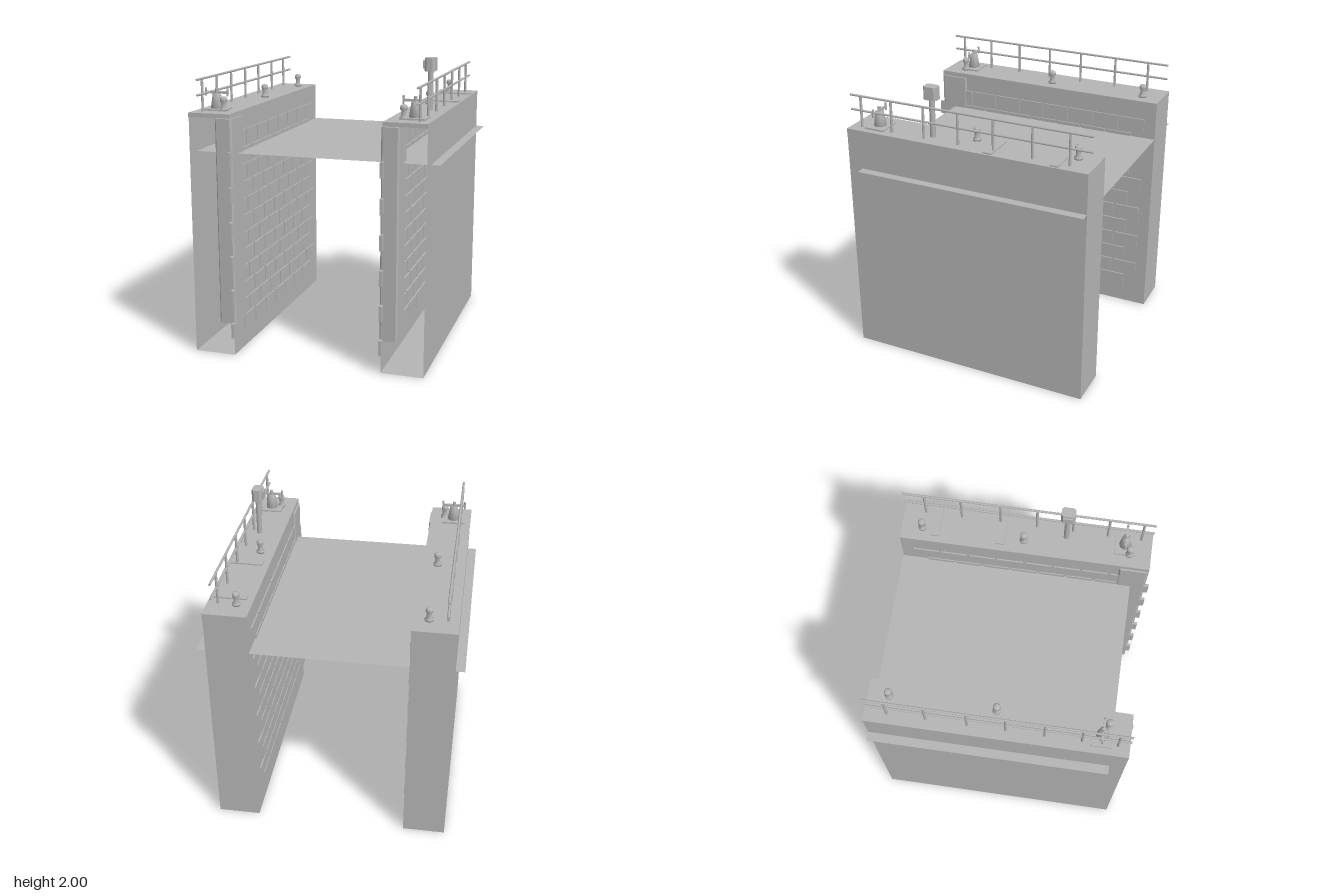
import * as THREE from 'three';
import { mergeGeometries } from 'three/addons/utils/BufferGeometryUtils.js';

const grey = new THREE.MeshStandardMaterial({ color: 0xb4b4b4, side: THREE.DoubleSide });
grey.name = 'concrete grey';

// Box given by its limits on each axis
function boxGeo(x0, x1, y0, y1, z0, z1) {
  return new THREE.BoxGeometry(Math.abs(x1 - x0), y1 - y0, z1 - z0)
    .translate((x0 + x1) / 2, (y0 + y1) / 2, (z0 + z1) / 2);
}

// Outline of a rectangle with cut corners, extruded upwards
function chamferedBlock(w, d, h, c) {
  const x = w / 2, z = d / 2;
  const pts = [[-x + c, -z], [x - c, -z], [x, -z + c], [x, z - c],
    [x - c, z], [-x + c, z], [-x, z - c], [-x, -z + c]];
  const shape = new THREE.Shape(pts.map(([a, b]) => new THREE.Vector2(a, b)));
  return new THREE.ExtrudeGeometry(shape, { depth: h, bevelEnabled: false }).rotateX(-Math.PI / 2);
}

function lathe(points, sides = 16) {
  return new THREE.LatheGeometry(points.map(([r, y]) => new THREE.Vector2(r, y)), sides);
}

export function createModel() {
  const model = new THREE.Group();
  model.name = 'lockChamber';
  const TOP = 1.653, BACK = -0.867, FRONT = 0.847;

  function add(parent, name, geometry, x = 0, y = 0, z = 0) {
    const mesh = new THREE.Mesh(geometry, grey);
    mesh.name = name;
    mesh.position.set(x, y, z);
    parent.add(mesh);
    return mesh;
  }

  // Water surface, running through both hollow walls
  const water = new THREE.PlaneGeometry(1.72, 1.612).rotateX(-Math.PI / 2);
  add(model, 'waterSurface', water, 0, 1.38, -0.061);

  for (const s of [1, -1]) {
    const side = new THREE.Group();
    side.name = s > 0 ? 'leftWall' : 'rightWall';
    model.add(side);

    // Hollow wall, open at the front: drop the +z face of the box
    const shell = boxGeo(s * 0.514, s * 0.8, 0, 1.64, BACK, FRONT);
    shell.setIndex(Array.from(shell.index.array).filter((v, i) => i < 24 || i >= 30));
    shell.clearGroups();
    add(side, 'wallShell', shell);
    add(side, 'coping', boxGeo(s * 0.514, s * 0.803, 1.625, TOP, BACK, FRONT));

    // Gate column in the front recess
    add(side, 'gateColumn', chamferedBlock(0.118, 0.195, 1.4, 0.01), s * 0.561, 0.22, 0.743);

    // Staggered stone courses on the inner face
    const stones = [];
    for (let row = 0; row < 12; row++) {
      const y = 0.127 + row * 0.1175;
      const start = row % 2 ? -0.784 : -0.686;
      for (let i = 0; i < 8; i++) {
        const z = start + i * 0.197;
        stones.push(boxGeo(s * 0.505, s * 0.525, y, y + 0.102, z, z + 0.18));
      }
    }
    add(side, 'stoneCourses', mergeGeometries(stones));

    // Railing
    const railing = new THREE.Group();
    railing.name = 'railing';
    side.add(railing);
    for (const z of [0.77, 0.54, 0.3, 0.05, -0.2, -0.47, -0.72]) {
      const post = new THREE.CylinderGeometry(0.009, 0.009, 0.22, 8);
      add(railing, 'railPost', post, s * 0.733, TOP + 0.108, z);
    }
    for (const y of [1.768, 1.869]) {
      const rail = new THREE.CylinderGeometry(0.008, 0.008, FRONT - BACK, 8).rotateX(Math.PI / 2);
      add(railing, 'rail', rail, s * 0.733, y, (FRONT + BACK) / 2);
    }

    // Mooring bollards
    for (const z of [0.7, -0.025, -0.727]) {
      const profile = [[0, 0], [0.028, 0], [0.028, 0.012], [0.018, 0.018], [0.016, 0.055],
        [0.024, 0.062], [0.024, 0.08], [0.016, 0.092], [0, 0.092]];
      add(side, 'bollard', lathe(profile), s * 0.612, TOP, z);
    }

    // Winch with a cross bar and two upright handles
    const winch = new THREE.Group();
    winch.name = 'winch';
    winch.position.set(s * 0.678, TOP, 0.664);
    side.add(winch);
    add(winch, 'winchBase', boxGeo(-0.08, 0.08, 0, 0.011, -0.07, 0.07));
    add(winch, 'winchBody', lathe([[0, 0], [0.042, 0.01], [0.027, 0.11], [0, 0.11]]));
    add(winch, 'winchSpindle', new THREE.CylinderGeometry(0.011, 0.011, 0.04, 10), 0, 0.122, 0);
    add(winch, 'winchBar', boxGeo(-0.084, 0.084, 0.108, 0.124, -0.007, 0.007));
    for (const x of [-0.078, 0.078]) {
      add(winch, 'winchHandle', new THREE.CylinderGeometry(0.007, 0.007, 0.055, 8), x, 0.118, 0);
    }
  }

  // Cover plates on the left wall
  for (const z of [-0.635, -0.184]) {
    add(model, 'coverPlate', boxGeo(0.56, 0.79, TOP, TOP + 0.009, z - 0.03, z + 0.03));
  }

  // Signal lamp on the left wall
  const signal = new THREE.Group();
  signal.name = 'signalLamp';
  signal.position.set(0.682, TOP, 0.26);
  model.add(signal);
  add(signal, 'signalPost', new THREE.CylinderGeometry(0.019, 0.019, 0.27, 12), 0, 0.135, 0);
  add(signal, 'signalHead', chamferedBlock(0.07, 0.096, 0.087, 0.015), 0, 0.26, 0);
  add(signal, 'signalLens', boxGeo(-0.046, -0.034, 0.277, 0.33, -0.033, 0.033));

  return model;
}
